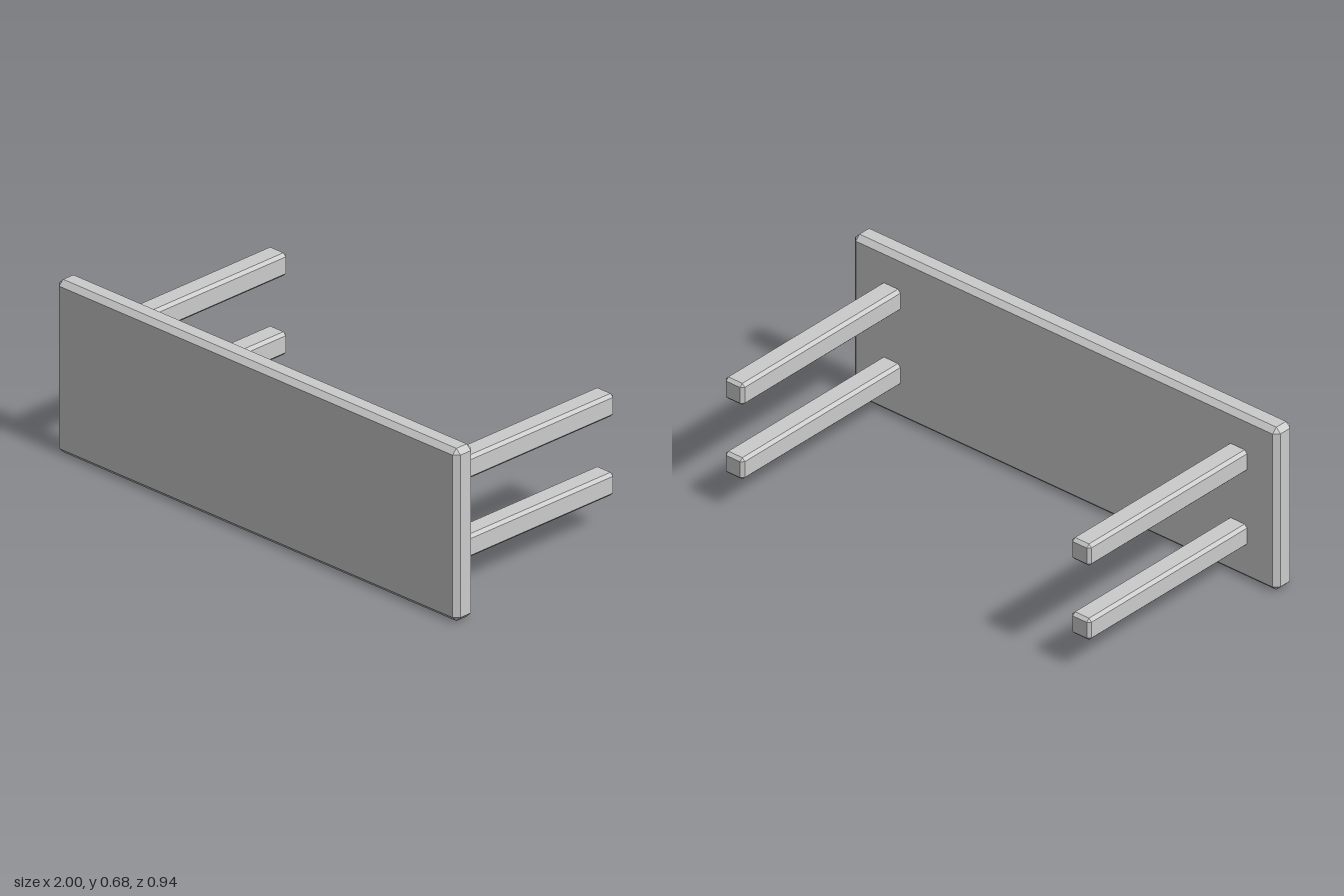
import * as THREE from 'three';
import { ConvexGeometry } from 'three/addons/geometries/ConvexGeometry.js';

// Box with every edge and corner chamfered by b
function chamferBox(w, h, d, b) {
  const half = [w / 2, h / 2, d / 2];
  const points = [];
  for (const sx of [-1, 1]) for (const sy of [-1, 1]) for (const sz of [-1, 1]) {
    for (let axis = 0; axis < 3; axis++) {
      const [x, y, z] = half.map((v, i) => (i === axis ? v : v - b));
      points.push(new THREE.Vector3(sx * x, sy * y, sz * z));
    }
  }
  return new ConvexGeometry(points);
}

export function createModel() {
  const model = new THREE.Group();
  model.name = 'tippedTable';

  const grey = new THREE.MeshStandardMaterial({ color: 0xcccccc, flatShading: true });
  grey.name = 'lightGrey';

  // Table top standing on its long edge
  const top = new THREE.Mesh(chamferBox(2, 0.678, 0.092, 0.02), grey);
  top.name = 'tableTop';
  top.position.set(0, 0.339, 0.424);
  model.add(top);

  // Four legs pointing backwards, sunk slightly into the top
  const front = 0.4, back = -0.47;
  const legGeometry = chamferBox(0.09, 0.09, front - back, 0.012);
  for (const side of [1, -1]) for (const level of [1, -1]) {
    const leg = new THREE.Mesh(legGeometry, grey);
    leg.name = (level > 0 ? 'upper' : 'lower') + (side > 0 ? 'Left' : 'Right') + 'Leg';
    leg.position.set(side * 0.815, 0.339 + level * 0.155, (front + back) / 2);
    model.add(leg);
  }
  return model;
}
